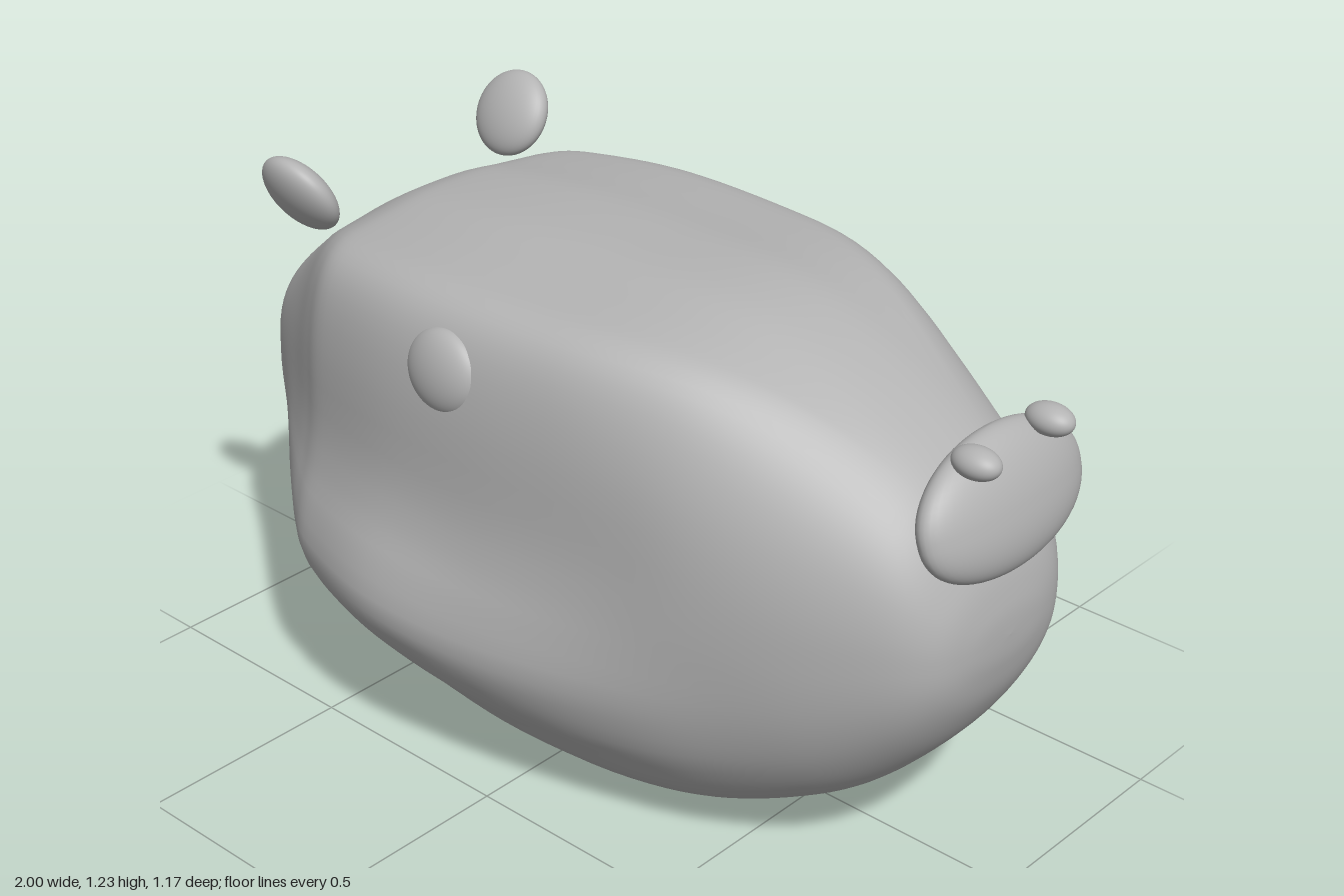
import * as THREE from 'three';

const skin = new THREE.MeshStandardMaterial({ color: 0xb3b3b3 });
skin.name = 'grey skin';

// Head stations from back to nose: x, bottom, top, upper half-width, cheek half-width
const STATIONS = [
  [-1, 0.7, 0.7, 0, 0],
  [-0.998, 0.62, 0.78, 0.08, 0.08],
  [-0.985, 0.575, 0.82, 0.14, 0.14],
  [-0.955, 0.53, 0.86, 0.195, 0.195],
  [-0.9, 0.465, 0.91, 0.245, 0.25],
  [-0.8, 0.35, 0.985, 0.315, 0.325],
  [-0.7, 0.23, 1.055, 0.375, 0.41],
  [-0.6, 0.125, 1.11, 0.43, 0.485],
  [-0.5, 0.075, 1.132, 0.47, 0.535],
  [-0.27, 0.045, 1.152, 0.505, 0.585],
  [0, 0.01, 1.156, 0.5, 0.555],
  [0.3, 0.015, 1.15, 0.46, 0.48],
  [0.5, 0.06, 1.105, 0.425, 0.425],
  [0.7, 0.16, 1.01, 0.36, 0.36],
  [0.85, 0.305, 0.9, 0.285, 0.285],
  [0.93, 0.43, 0.77, 0.21, 0.21],
  [0.96, 0.53, 0.67, 0.12, 0.12],
  [0.966, 0.6, 0.6, 0, 0],
];

// Half section of the middle: height fraction, width fraction, share of the cheek bulge
const SECTION = [
  [0, 0, 0], [0.005, 0.26, 0], [0.04, 0.6, 0], [0.09, 0.76, 0.05], [0.15, 0.86, 0.2],
  [0.22, 0.95, 0.55], [0.32, 1, 1], [0.42, 1, 0.75], [0.5, 1, 0.3], [0.6, 0.99, 0.05],
  [0.75, 0.98, 0], [0.86, 0.94, 0], [0.93, 0.87, 0], [0.965, 0.76, 0],
  [0.976, 0.6, 0], [0.986, 0.4, 0], [0.998, 0.2, 0], [1, 0, 0],
];

// Smooth interpolation through rows of numbers, at t in 0..1
function sampleRows(rows, t) {
  const last = rows.length - 1;
  const i = Math.min(last - 1, Math.floor(t * last));
  const f = t * last - i;
  const row = (k) => rows[Math.max(0, Math.min(last, k))];
  return rows[0].map((_, c) => {
    const p0 = row(i - 1)[c], p1 = row(i)[c], p2 = row(i + 1)[c], p3 = row(i + 2)[c];
    const a = (p2 - p0) / 2, b = (p3 - p1) / 2;
    return p1 + f * (a + f * (3 * (p2 - p1) - 2 * a - b + f * (2 * (p1 - p2) + a + b)));
  });
}

function headGeometry() {
  const rings = 102, half = 48, around = half * 2;
  const positions = [], index = [];
  for (let i = 0; i <= rings; i++) {
    const [x, bottom, top, upper, cheek] = sampleRows(STATIONS, i / rings);
    // the section turns rounder towards both ends
    const round = Math.max(
      THREE.MathUtils.smoothstep(x, 0.15, 0.8),
      1 - THREE.MathUtils.smoothstep(x, -0.97, -0.5),
    );
    for (let j = 0; j < around; j++) {
      const side = j <= half ? 1 : -1;
      const [rawV, u, bulge] = sampleRows(SECTION, (j <= half ? j : around - j) / half);
      const v = THREE.MathUtils.clamp(rawV, 0, 1);
      const oval = Math.pow(Math.max(0, 1 - Math.pow(Math.abs(2 * v - 1), 2.4)), 1 / 2.4);
      const width = upper * THREE.MathUtils.lerp(u, oval, round) + (cheek - upper) * bulge;
      positions.push(x, bottom + (top - bottom) * v, side * Math.max(0, width));
      if (i < rings) {
        const a = i * around + j, c = i * around + (j + 1) % around;
        index.push(a, a + around, c, c, a + around, c + around);
      }
    }
  }
  const geometry = new THREE.BufferGeometry();
  geometry.setAttribute('position', new THREE.Float32BufferAttribute(positions, 3));
  geometry.setIndex(index);
  geometry.computeVertexNormals();
  return geometry;
}

// Ellipsoid, optionally with a flatter underside
function ellipsoid(name, radii, position, flatBase = 1) {
  const geometry = new THREE.SphereGeometry(1, 48, 32);
  const p = geometry.attributes.position;
  if (flatBase !== 1) {
    for (let i = 0; i < p.count; i++) {
      const y = p.getY(i);
      if (y < 0) p.setY(i, -Math.pow(-y, flatBase));
    }
  }
  geometry.scale(...radii);
  if (flatBase !== 1) geometry.computeVertexNormals();
  const mesh = new THREE.Mesh(geometry, skin);
  mesh.name = name;
  mesh.position.set(...position);
  return mesh;
}

export function createModel() {
  const model = new THREE.Group();
  model.name = 'hippo';

  const head = new THREE.Mesh(headGeometry(), skin);
  head.name = 'head';
  model.add(head);

  // Snout pad leaning back at the top
  const snout = ellipsoid('snout', [0.07, 0.145, 0.248], [0.919, 0.888, 0], 0.85);
  snout.rotation.z = 0.28;
  model.add(snout);

  // Paired parts
  for (const [label, s] of [['left', -1], ['right', 1]]) {
    const ear = ellipsoid(`${label}Ear`, [0.1, 0.1, 0.045], [-0.705, 1.147, s * 0.319]);
    ear.rotation.x = s * 0.5;
    const eye = ellipsoid(`${label}Eye`, [0.098, 0.09, 0.043], [-0.122, 0.973, s * 0.461]);
    eye.rotation.x = -s * 0.15;
    const nostril = ellipsoid(`${label}Nostril`, [0.053, 0.032, 0.038], [0.94, 1.018, s * 0.118]);
    model.add(ear, eye, nostril);
  }
  return model;
}
